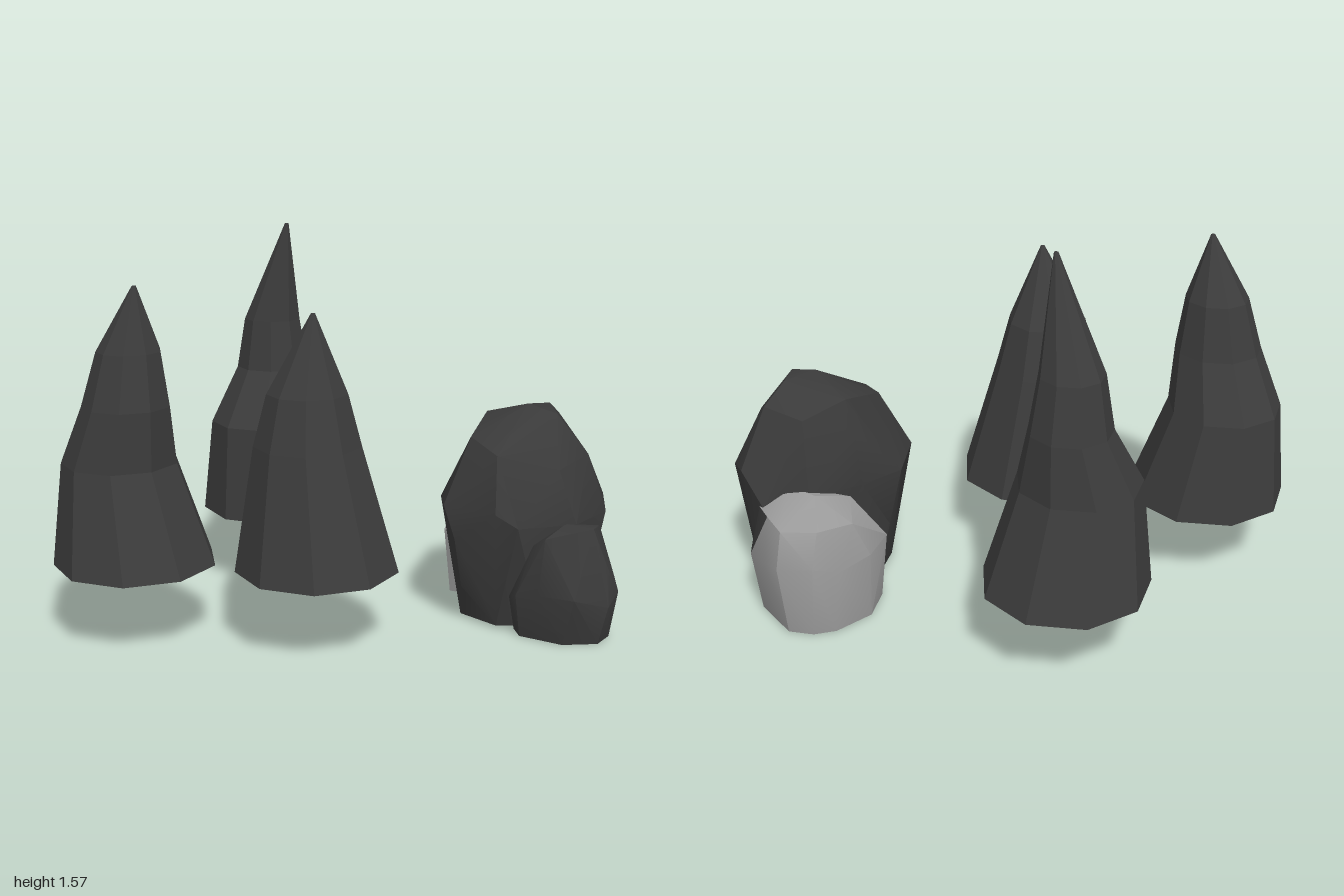
import * as THREE from 'three';
import { toCreasedNormals } from 'three/addons/utils/BufferGeometryUtils.js';
import { ConvexGeometry } from 'three/addons/geometries/ConvexGeometry.js';

const material = (name, color) => {
  const m = new THREE.MeshStandardMaterial({ color });
  m.name = name;
  return m;
};

// Nine-sided spike; rings run from the tip down as [x, y, z, radius]
function spikeGeometry(rings) {
  const rows = rings.length - 1;
  const geo = new THREE.CylinderGeometry(1, 1, 1, 9, rows);
  const p = geo.attributes.position;
  for (let i = 0; i < p.count; i++) {
    const [x, y, z, r] = rings[Math.round((0.5 - p.getY(i)) * rows)];
    p.setXYZ(i, x + p.getX(i) * r, y, z + p.getZ(i) * r);
  }
  const flat = geo.toNonIndexed();
  flat.computeVertexNormals();
  return flat;
}

// Boulder wrapped around a few corner points, with softened facets
function rockGeometry(points) {
  const hull = new ConvexGeometry(points.map((p) => new THREE.Vector3(...p)));
  return toCreasedNormals(hull, 0.55);
}

// Gives each triangle facing +x the second material
function splitBySide(geo, limit) {
  const p = geo.attributes.position;
  const tri = new THREE.Triangle();
  const n = new THREE.Vector3();
  for (let i = 0; i < p.count; i += 3) {
    tri.setFromAttributeAndIndices(p, i, i + 1, i + 2);
    tri.getNormal(n);
    geo.addGroup(i, 3, n.x > limit ? 1 : 0);
  }
  return geo;
}

export function createModel() {
  const group = new THREE.Group();
  const charcoal = material('charcoal', 0x3c3c3c);
  const darkStone = material('dark stone', 0x3a3a3a);
  const paleStone = material('pale stone', 0x999999);

  const add = (name, geo, mat) => {
    const mesh = new THREE.Mesh(geo, mat);
    mesh.name = name;
    group.add(mesh);
  };

  // Spikes
  add('tallSpike', spikeGeometry([
    [-0.55, 1.565, -0.235, 0.008],
    [-0.65, 1.15, -0.245, 0.12],
    [-0.655, 0.94, -0.25, 0.155],
    [-0.645, 0.71, -0.19, 0.235],
    [-0.645, 0.31, -0.25, 0.32],
  ]), charcoal);
  add('middleSpike', spikeGeometry([
    [-0.465, 1.4, 0.69, 0.008],
    [-0.507, 1.15, 0.69, 0.125],
    [-0.52, 0.94, 0.7, 0.172],
    [-0.575, 0.71, 0.695, 0.228],
    [-0.52, 0.31, 0.68, 0.32],
  ]), charcoal);
  add('shortSpike', spikeGeometry([
    [0.075, 1.305, 0.295, 0.008],
    [0.045, 1.0, 0.295, 0.157],
    [0.045, 0.8, 0.295, 0.21],
    [0.075, 0.31, 0.28, 0.32],
  ]), charcoal);

  // Large boulder
  add('largeRock', rockGeometry([
    [0.24, 0.01, -0.45], [0.33, 0.01, -0.32], [0.52, 0.01, -0.3], [0.66, 0.01, -0.42],
    [0.68, 0.01, -0.7], [0.5, 0.01, -0.85], [0.28, 0.01, -0.8],
    [0.38, 0.16, -0.25], [0.2, 0.25, -0.42], [0.72, 0.22, -0.48],
    [0.38, 0.37, -0.2], [0.32, 0.5, -0.205], [0.19, 0.48, -0.36], [0.165, 0.5, -0.57],
    [0.21, 0.5, -0.79], [0.33, 0.45, -0.92], [0.46, 0.57, -0.93], [0.68, 0.48, -0.83],
    [0.77, 0.45, -0.7], [0.78, 0.45, -0.46], [0.64, 0.45, -0.26], [0.56, 0.5, -0.22],
    [0.35, 0.76, -0.34], [0.52, 0.72, -0.28], [0.7, 0.66, -0.45], [0.69, 0.68, -0.68],
    [0.23, 0.7, -0.55], [0.28, 0.82, -0.55], [0.48, 0.88, -0.55], [0.6, 0.85, -0.58],
    [0.5, 0.865, -0.68], [0.3, 0.78, -0.74], [0.47, 0.8, -0.8],
  ]), darkStone);

  // Small boulder at the side
  add('smallRock', rockGeometry([
    [0.58, 0, -0.34], [0.64, 0, -0.29], [0.82, 0, -0.32], [0.92, 0, -0.42],
    [0.91, 0, -0.52], [0.8, 0, -0.61], [0.6, 0, -0.55],
    [0.58, 0.15, -0.3], [0.64, 0.18, -0.255], [0.74, 0.2, -0.26], [0.88, 0.2, -0.3],
    [0.96, 0.16, -0.42], [0.95, 0.2, -0.51], [0.88, 0.22, -0.6], [0.8, 0.24, -0.65],
    [0.68, 0.38, -0.31], [0.74, 0.42, -0.3], [0.75, 0.455, -0.43], [0.87, 0.455, -0.44],
    [0.93, 0.3, -0.46], [0.82, 0.43, -0.57], [0.65, 0.4, -0.56],
  ]), darkStone);

  // Pale boulder behind, dark on its outer flank
  add('paleRock', splitBySide(rockGeometry([
    [0.03, 0, -0.65], [0.03, 0, -0.82], [0.07, 0, -0.9], [0.15, 0, -0.96],
    [0.36, 0, -0.94], [0.42, 0, -0.85], [0.38, 0, -0.6], [0.12, 0, -0.53],
    [0.02, 0.28, -0.65], [0.02, 0.26, -0.8], [0.05, 0.3, -0.9], [0.14, 0.3, -1.0],
    [0.24, 0.28, -0.99], [0.38, 0.25, -0.965], [0.44, 0.25, -0.92],
    [0.1, 0.28, -0.51], [0.17, 0.28, -0.5], [0.06, 0.42, -0.7], [0.08, 0.43, -0.85],
    [0.16, 0.44, -0.96], [0.26, 0.46, -0.95], [0.36, 0.45, -0.92], [0.4, 0.4, -0.85],
    [0.15, 0.48, -0.64], [0.18, 0.52, -0.78], [0.3, 0.53, -0.82],
  ]), 0.3), [paleStone, darkStone]);

  return group;
}
